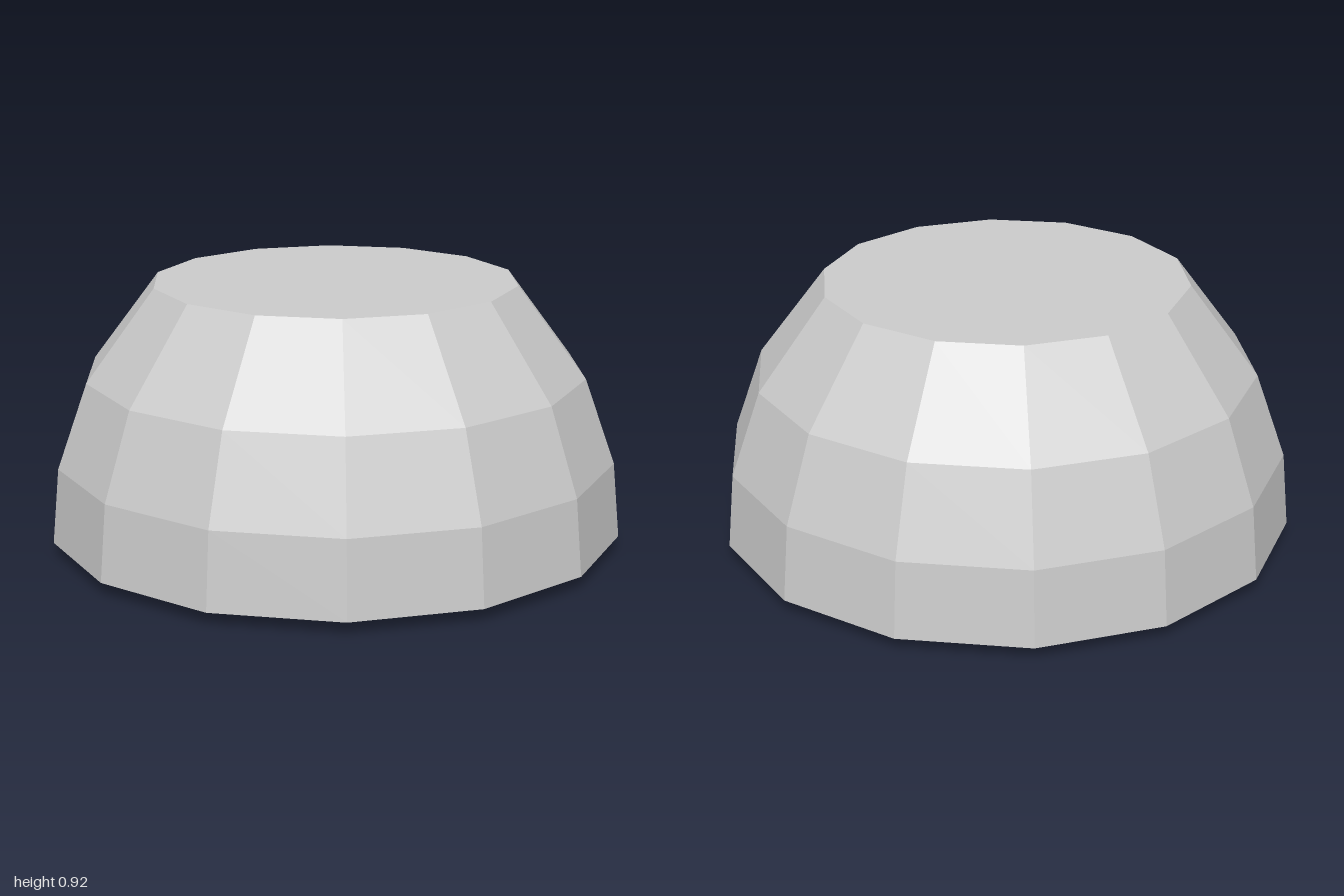
import * as THREE from 'three';

const SIDES = 14;

export function createModel() {
  const model = new THREE.Group();
  const shellGrey = new THREE.MeshStandardMaterial({ color: 0xcccccc, flatShading: true, side: THREE.DoubleSide });
  const darkGrey = new THREE.MeshStandardMaterial({ color: 0x6a6a6a, flatShading: true });

  const add = (name, geometry, material, parent = model) => {
    const mesh = new THREE.Mesh(geometry, material);
    mesh.name = name;
    parent.add(mesh);
    return mesh;
  };

  // Faceted open-bottomed dome with a flat roof
  const dome = (name, profile) => add(
    name,
    new THREE.LatheGeometry(profile.map(([r, y]) => new THREE.Vector2(r, y)), SIDES),
    shellGrey
  );
  dome('outerDome', [[1, 0.046], [0.975, 0.308], [0.87, 0.602], [0.632, 0.917], [0, 0.917]]);
  dome('innerDome', [[0.758, 0], [0.74, 0.2], [0.67, 0.41], [0.56, 0.615], [0, 0.615]]);

  // Small mechanism in the middle of the hollow
  const core = new THREE.Group();
  core.name = 'core';
  core.rotation.y = -0.75 * Math.PI;
  model.add(core);
  add('coreBody', new THREE.CylinderGeometry(0.1, 0.1, 0.1, 12), darkGrey, core).position.y = 0.21;
  for (const y of [0.175, 0.245]) {
    add('coreBand', new THREE.CylinderGeometry(0.112, 0.112, 0.02, 12), darkGrey, core).position.y = y;
  }

  // Thin foot and splayed struts below the body
  const foot = add('coreFoot', new THREE.BoxGeometry(0.1, 0.02, 0.07), darkGrey, core);
  foot.position.set(-0.08, 0.09, 0);
  foot.rotation.z = -0.25;
  for (const z of [-0.02, 0.02]) {
    const strut = add('coreStrut', new THREE.BoxGeometry(0.19, 0.012, 0.015), darkGrey, core);
    strut.position.set(-0.01, 0.07, z);
    strut.rotation.z = -0.55;
  }

  return model;
}
